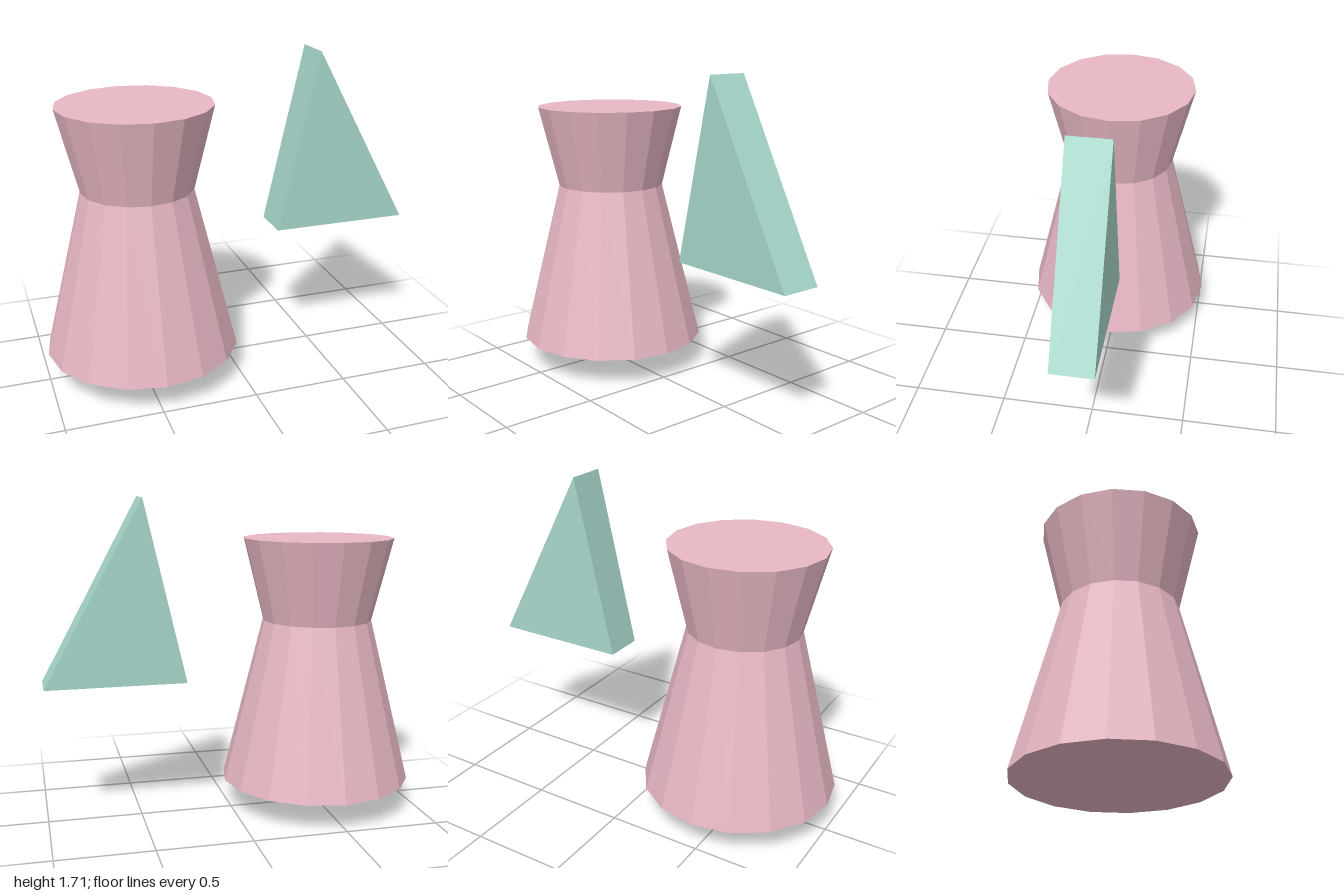
import * as THREE from 'three';

export function createModel() {
  const model = new THREE.Group();

  const addPart = (name, geometry, color) => {
    const material = new THREE.MeshStandardMaterial({ color, flatShading: true });
    const mesh = new THREE.Mesh(geometry, material);
    mesh.name = name;
    model.add(mesh);
    return mesh;
  };

  // Waisted 16-sided body: pointed underside, flared skirt, narrow waist, flat top
  const profile = [
    [0, 0], [0.517, 0.153], [0.296, 1.04], [0.405, 1.484], [0, 1.484],
  ].map(([r, y]) => new THREE.Vector2(r, y));
  const body = addPart('waistedBody', new THREE.LatheGeometry(profile, 16), 0xe8b8c4);
  body.position.x = -0.483;

  // Separate triangular wedge floating beside the body
  const depth = 0.22;
  const triangle = new THREE.Shape([
    new THREE.Vector2(0.26, 0.745),
    new THREE.Vector2(1, 0.745),
    new THREE.Vector2(0.48, 1.705),
  ]);
  const wedge = new THREE.ExtrudeGeometry(triangle, { depth, bevelEnabled: false });
  wedge.translate(0, 0, -depth / 2);
  addPart('triangularWedge', wedge, 0xa8d8cc);

  return model;
}
